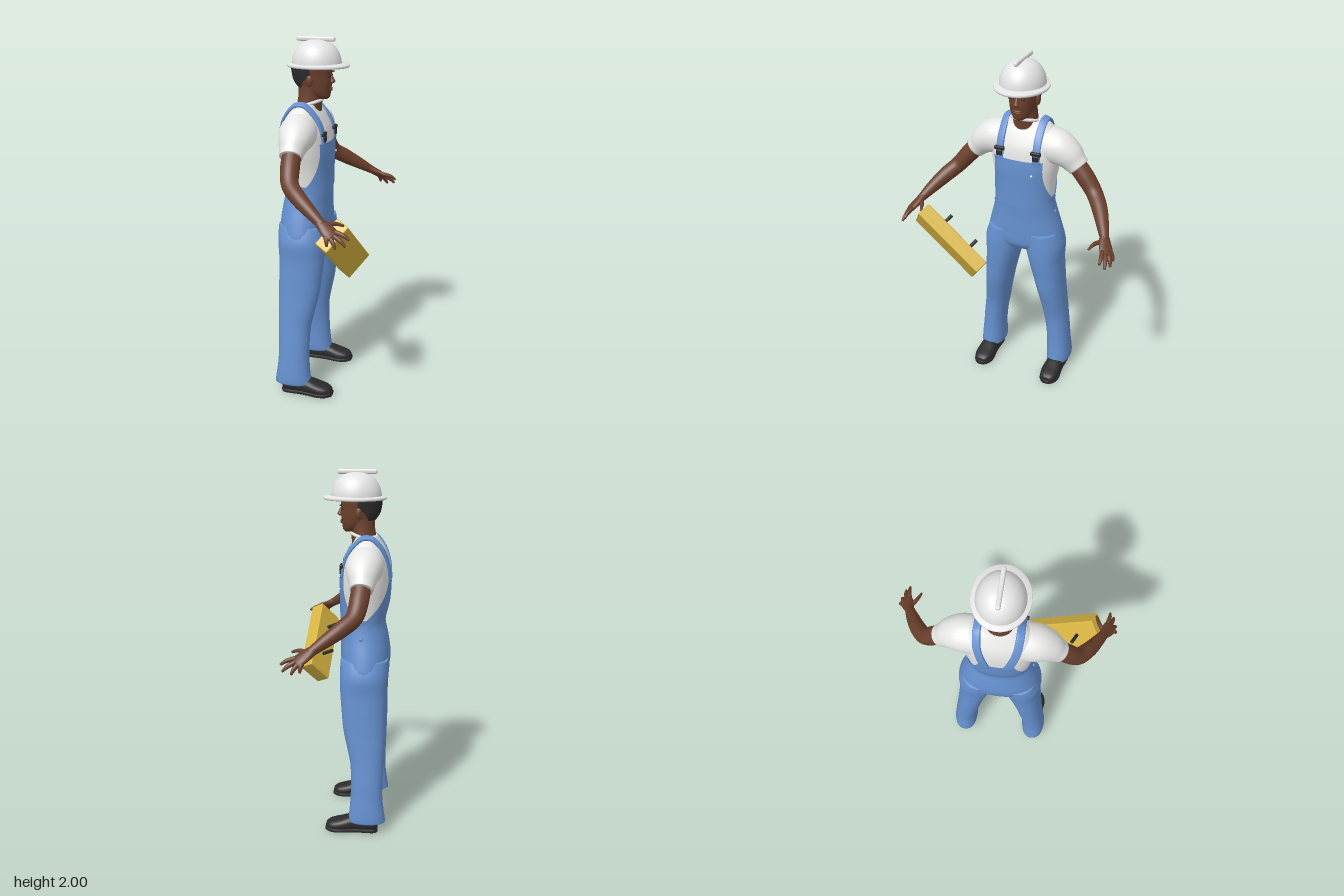
import * as THREE from 'three';
import { RoundedBoxGeometry } from 'three/addons/geometries/RoundedBoxGeometry.js';

const V = (x, y, z) => new THREE.Vector3(x, y, z);
const mat = (name, color, side = THREE.FrontSide) => {
  const m = new THREE.MeshStandardMaterial({ color, side });
  m.name = name;
  return m;
};

// Catmull-Rom interpolation of rows of numbers
function smooth(rows, n = 5) {
  const out = [], last = rows.length - 1;
  for (let i = 0; i < last; i++) {
    const [a, b, c, d] = [i - 1, i, i + 1, i + 2].map(k => rows[Math.min(last, Math.max(0, k))]);
    for (let k = 0; k < n; k++) {
      const t = k / n;
      out.push(b.map((_, j) => 0.5 * (2 * b[j] + (c[j] - a[j]) * t + (2 * a[j] - 5 * b[j] + 4 * c[j] - d[j]) * t * t
        + (3 * b[j] - a[j] - 3 * c[j] + d[j]) * t * t * t)));
    }
  }
  out.push(rows[last]);
  return out;
}

const power = (v, p) => Math.sign(v) * Math.abs(v) ** (2 / p);

// Skin through sections [x, y, z, radius along ref, radius across]
function loft(rows, ref, { p = 2, seg = 24, axis = null } = {}) {
  const d = smooth(rows), pos = [], idx = [], n = d.length;
  const at = i => V(d[i][0], d[i][1], d[i][2]);
  for (let i = 0; i < n; i++) {
    const T = axis ? axis.clone() : at(Math.min(n - 1, i + 1)).sub(at(Math.max(0, i - 1))).normalize();
    const U = ref.clone().addScaledVector(T, -ref.dot(T)).normalize();
    const W = T.clone().cross(U);
    for (let j = 0; j < seg; j++) {
      const a = j / seg * Math.PI * 2;
      pos.push(...at(i).addScaledVector(U, d[i][3] * power(Math.cos(a), p))
        .addScaledVector(W, d[i][4] * power(Math.sin(a), p)).toArray());
    }
  }
  for (let i = 0; i < n - 1; i++) for (let j = 0; j < seg; j++) {
    const a = i * seg + j, b = i * seg + (j + 1) % seg;
    idx.push(a, b, a + seg, b, b + seg, a + seg);
  }
  pos.push(...at(0).toArray(), ...at(n - 1).toArray());
  for (let j = 0; j < seg; j++) {
    const k = (j + 1) % seg, e = (n - 1) * seg;
    idx.push(n * seg, k, j, n * seg + 1, e + j, e + k);
  }
  return build(pos, idx);
}

function build(pos, idx) {
  const g = new THREE.BufferGeometry();
  g.setAttribute('position', new THREE.Float32BufferAttribute(pos, 3));
  g.setIndex(idx);
  g.computeVertexNormals();
  return g;
}

// Section of an upright body at height y
function sectionAt(dense, y) {
  let i = 0;
  while (i < dense.length - 2 && dense[i + 1][1] < y) i++;
  const a = dense[i], b = dense[i + 1], t = (y - a[1]) / (b[1] - a[1]);
  return a.map((v, j) => v + (b[j] - v) * t);
}

// Sheet lying on an upright body, half as wide as half(t) radians about the middle angle
function patch(rows, y0, y1, middle, half, p, gap) {
  const dense = smooth(rows), pos = [], idx = [], N = 16, M = 24;
  for (let i = 0; i <= N; i++) {
    const y = y0 + (y1 - y0) * i / N, [cx, , cz, rz, rx] = sectionAt(dense, y);
    for (let j = 0; j <= M; j++) {
      const a = middle + half(i / N) * (2 * j / M - 1);
      pos.push(cx + (rx + gap) * power(Math.cos(a), p), y, cz + (rz + gap) * power(Math.sin(a), p));
      if (i < N && j < M) {
        const k = i * (M + 1) + j;
        idx.push(k, k + M + 1, k + 1, k + 1, k + M + 1, k + M + 2);
      }
    }
  }
  return build(pos, idx);
}

export function createModel() {
  const root = new THREE.Group();
  root.name = 'worker';
  const denim = mat('denim blue', 0x6591d0, THREE.DoubleSide), shirt = mat('shirt white', 0xe9e9e7);
  const skin = mat('brown skin', 0x6b402c), hair = mat('dark hair', 0x2d2b2b, THREE.DoubleSide);
  const helmet = mat('helmet white', 0xe4e4e4, THREE.DoubleSide), black = mat('black', 0x2b2b2d);
  const yellow = mat('yellow', 0xd6b440);
  const add = (name, geo, m, x = 0, y = 0, z = 0) => {
    const o = new THREE.Mesh(geo, m);
    o.name = name;
    o.position.set(x, y, z);
    root.add(o);
    return o;
  };
  const Z = V(0, 0, 1), X = V(1, 0, 0), UP = V(0, 1, 0);

  // Shirt body
  const torso = [[-0.11, 1.15, 0, 0.17, 0.12], [-0.11, 1.2, 0, 0.164, 0.118], [-0.12, 1.3, 0, 0.173, 0.13],
    [-0.122, 1.4, 0, 0.19, 0.134], [-0.125, 1.5, 0, 0.198, 0.126], [-0.13, 1.57, 0, 0.183, 0.103],
    [-0.13, 1.62, 0, 0.138, 0.075], [-0.125, 1.655, 0, 0.085, 0.058]];
  add('shirtBody', loft(torso, Z, { p: 2.3, seg: 40, axis: UP }), shirt);
  const collar = add('collar', new THREE.TorusGeometry(0.074, 0.009, 8, 32), shirt, -0.112, 1.645, 0);
  collar.rotation.set(Math.PI / 2, 0.3, 0);

  // Overalls
  add('overallsHips', loft([[-0.124, 0.88, 0, 0.2, 0.11], [-0.125, 0.92, 0, 0.228, 0.132], [-0.127, 1, 0, 0.214, 0.138],
    [-0.12, 1.1, 0, 0.186, 0.131], [-0.111, 1.17, 0, 0.172, 0.125], [-0.111, 1.215, 0, 0.17, 0.124]],
    Z, { p: 2.2, seg: 40, axis: UP }), denim);
  const rad = Math.PI / 180;
  add('bib', patch(torso, 1.19, 1.45, 0, t => (41 + 49 * (1 - t) ** 2.5) * rad, 2.3, 0.008), denim);
  add('backPanel', patch(torso, 1.19, 1.44, Math.PI, t => (24 + 66 * (1 - t) ** 1.5) * rad, 2.3, 0.008), denim);
  add('bibButton', new THREE.SphereGeometry(0.007, 10, 8), helmet, 0.012, 1.37, -0.085);

  const dense = smooth(torso);
  const onTorso = (y, z, dir) => {
    const [cx, , , rz, rx] = sectionAt(dense, y);
    return [cx + dir * (rx * (1 - Math.min(1, z / rz) ** 2.3) ** (1 / 2.3) + 0.006), y, z];
  };

  for (const s of [1, -1]) {
    const side = s > 0 ? 'right' : 'left';
    const flip = rows => rows.map(([x, y, z, ...r]) => [x, y, z * s, ...r]);
    const part = (name, rows, ref, m, opt) =>
      add(side + name, loft(flip(rows), V(ref.x, ref.y, ref.z * s), opt), m);

    // Shoulder strap and buckle
    const strap = [onTorso(1.44, 0.105, 1), onTorso(1.52, 0.105, 1), onTorso(1.58, 0.105, 1), [-0.095, 1.64, 0.106],
      [-0.135, 1.652, 0.107], [-0.175, 1.638, 0.107], onTorso(1.58, 0.1, -1), onTorso(1.5, 0.08, -1), onTorso(1.41, 0.055, -1)];
    part('Strap', strap.map(q => [...q, 0.021, 0.008]), V(0, -0.4, 1), denim, { p: 4, seg: 16 });
    const bx = onTorso(1.49, 0.105, 1)[0];
    add(side + 'Buckle', new RoundedBoxGeometry(0.018, 0.022, 0.058, 2, 0.006), black, bx + 0.006, 1.5, s * 0.105);
    add(side + 'BuckleClip', new RoundedBoxGeometry(0.018, 0.034, 0.034, 2, 0.006), black, bx + 0.008, 1.475, s * 0.105);
    add(side + 'HipButton', new THREE.SphereGeometry(0.01, 10, 8), denim, -0.11, 1.115, s * 0.182);

    // Trouser leg
    part('TrouserLeg', [[-0.125, 0.99, 0.108, 0.1, 0.13], [-0.124, 0.9, 0.123, 0.113, 0.133], [-0.122, 0.8, 0.134, 0.1, 0.128],
      [-0.125, 0.7, 0.15, 0.09, 0.122], [-0.13, 0.6, 0.165, 0.081, 0.117], [-0.14, 0.5, 0.18, 0.075, 0.105],
      [-0.149, 0.4, 0.193, 0.071, 0.093], [-0.15, 0.3, 0.207, 0.068, 0.089], [-0.15, 0.2, 0.216, 0.068, 0.09],
      [-0.152, 0.11, 0.221, 0.072, 0.099], [-0.152, 0.065, 0.222, 0.07, 0.106]],
      Z, denim, { p: 2.2, seg: 28, axis: V(0, -1, 0) });

    // Shoe with sole
    part('Shoe', [[-0.212, 0.045, 0.222, 0.025, 0.03], [-0.19, 0.05, 0.222, 0.045, 0.044], [-0.08, 0.05, 0.222, 0.05, 0.045],
      [0, 0.038, 0.222, 0.056, 0.034], [0.05, 0.032, 0.222, 0.047, 0.026], [0.075, 0.028, 0.222, 0.024, 0.016]],
      Z, black, { p: 2.4, axis: X });
    part('Sole', [[-0.215, 0.012, 0.222, 0.025, 0.012], [-0.19, 0.012, 0.222, 0.047, 0.012], [-0.09, 0.012, 0.222, 0.047, 0.012],
      [0, 0.012, 0.222, 0.059, 0.012], [0.05, 0.012, 0.222, 0.05, 0.012], [0.08, 0.014, 0.222, 0.024, 0.012]],
      Z, black, { p: 5, axis: X });

    // Sleeve and bare arm
    part('Sleeve', [[-0.13, 1.51, 0.1, 0.1, 0.105], [-0.125, 1.505, 0.18, 0.1, 0.1], [-0.122, 1.478, 0.24, 0.086, 0.083],
      [-0.122, 1.44, 0.28, 0.069, 0.067], [-0.12, 1.412, 0.308, 0.06, 0.06]], X, shirt, { seg: 28 });
    part('Arm', [[-0.12, 1.44, 0.28, 0.05, 0.05], [-0.112, 1.37, 0.345, 0.051, 0.05], [-0.092, 1.295, 0.408, 0.046, 0.045],
      [-0.03, 1.245, 0.462, 0.042, 0.043], [0.045, 1.195, 0.508, 0.034, 0.034], [0.1, 1.158, 0.538, 0.026, 0.025],
      [0.12, 1.145, 0.55, 0.026, 0.022]], X, skin);

    // Hand
    part('Palm', [[0.1, 1.158, 0.538, 0.026, 0.023], [0.135, 1.135, 0.556, 0.036, 0.02], [0.165, 1.115, 0.573, 0.039, 0.017],
      [0.185, 1.102, 0.582, 0.033, 0.012]], V(-0.6, -0.25, 0.6), skin);
    const fingers = [
      [[0.185, 1.12, 0.558], [0.23, 1.108, 0.567], [0.262, 1.088, 0.57]],
      [[0.182, 1.107, 0.575], [0.222, 1.086, 0.588], [0.25, 1.06, 0.595]],
      [[0.17, 1.1, 0.588], [0.19, 1.076, 0.603], [0.203, 1.05, 0.612]],
      [[0.15, 1.105, 0.593], [0.157, 1.083, 0.606], [0.16, 1.06, 0.612]],
      [[0.125, 1.142, 0.538], [0.172, 1.145, 0.508], [0.215, 1.132, 0.492]]];
    fingers.forEach((f, i) => part(i < 4 ? 'Finger' + (i + 1) : 'Thumb',
      f.map((q, k) => [...q, ...Array(2).fill([0.013, 0.011, 0.006][k])]), V(-0.5, -0.2, 0.5), skin, { seg: 10 }));

    // Ear, eye and brow
    add(side + 'Ear', new THREE.SphereGeometry(1, 14, 10), skin, -0.088, 1.775, s * 0.08).scale.set(0.018, 0.032, 0.012);
    add(side + 'Eye', new THREE.SphereGeometry(1, 12, 8), black, 0.005, 1.797, s * 0.032).scale.set(0.006, 0.005, 0.012);
    const brow = add(side + 'Brow', new RoundedBoxGeometry(0.009, 0.007, 0.036, 2, 0.003), hair, 0.008, 1.815, s * 0.034);
    brow.rotation.y = s * 0.3;
  }

  // Neck and head
  add('neck', loft([[-0.115, 1.59, 0, 0.085, 0.068], [-0.112, 1.64, 0, 0.072, 0.068], [-0.105, 1.69, 0, 0.066, 0.066],
    [-0.1, 1.76, 0, 0.065, 0.07]], Z, { axis: UP }), skin);
  const head = [[-0.035, 1.672, 0, 0.022, 0.025], [-0.048, 1.685, 0, 0.042, 0.05], [-0.068, 1.715, 0, 0.06, 0.075],
    [-0.085, 1.76, 0, 0.07, 0.098], [-0.092, 1.8, 0, 0.076, 0.104], [-0.093, 1.85, 0, 0.08, 0.105], [-0.09, 1.92, 0, 0.06, 0.08]];
  add('head', loft(head, Z, { p: 2.2, seg: 32, axis: UP }), skin);
  add('hair', patch(head, 1.735, 1.87, Math.PI, t => (52 + 42 * Math.min(1, t * 2)) * rad, 2.2, 0.009), hair);
  add('nose', loft([[0.006, 1.805, 0, 0.007, 0.006], [0.016, 1.78, 0, 0.011, 0.011], [0.018, 1.765, 0, 0.018, 0.014],
    [0.01, 1.755, 0, 0.012, 0.008]], Z, { axis: V(0, -1, 0), seg: 14 }), skin);
  for (const y of [1.73, 1.721])
    add('lip', new THREE.SphereGeometry(1, 14, 8), skin, 0.006, y, 0).scale.set(0.011, 0.006, 0.024);

  // Hard hat: dome, brim and crest
  const lathe = pts => new THREE.LatheGeometry(pts.map(q => new THREE.Vector2(...q)), 48);
  const arc = Array.from({ length: 15 }, (_, i) => i / 14 * Math.PI / 2);
  add('helmetDome', lathe(arc.map(a => [Math.max(0, Math.cos(a)) ** 0.85, Math.sin(a)])), helmet, -0.07, 1.853, 0)
    .scale.set(0.135, 0.132, 0.122);
  add('helmetBrim', lathe([[0.76, 0], [0.98, -0.007], [1, 0], [0.985, 0.008], [0.76, 0.014]]), helmet, -0.061, 1.85, 0)
    .scale.set(0.171, 1, 0.145);
  add('helmetCrest', new RoundedBoxGeometry(0.212, 0.026, 0.024, 3, 0.01), helmet, -0.074, 1.987, 0);

  // Tilted tool case with handle posts
  const box = new THREE.Group();
  box.name = 'toolCase';
  const L = V(-0.058, 0.602, 0.796).normalize();
  const S = V(-0.547, -0.693, 0.469);
  S.addScaledVector(L, -S.dot(L)).normalize();
  box.quaternion.setFromRotationMatrix(new THREE.Matrix4().makeBasis(L, S, L.clone().cross(S)));
  box.position.set(0.172, 0.947, 0.337);
  const body = new THREE.Mesh(new RoundedBoxGeometry(0.46, 0.168, 0.082, 2, 0.006), yellow);
  body.name = 'caseBody';
  box.add(body);
  for (const s of [-1, 1]) {
    const post = new THREE.Mesh(new THREE.CylinderGeometry(0.01, 0.01, 0.08, 14), black);
    post.name = 'handlePost';
    post.rotation.x = Math.PI / 2;
    post.position.set(s * 0.1, 0, -0.07);
    box.add(post);
  }
  root.add(box);
  return root;
}
